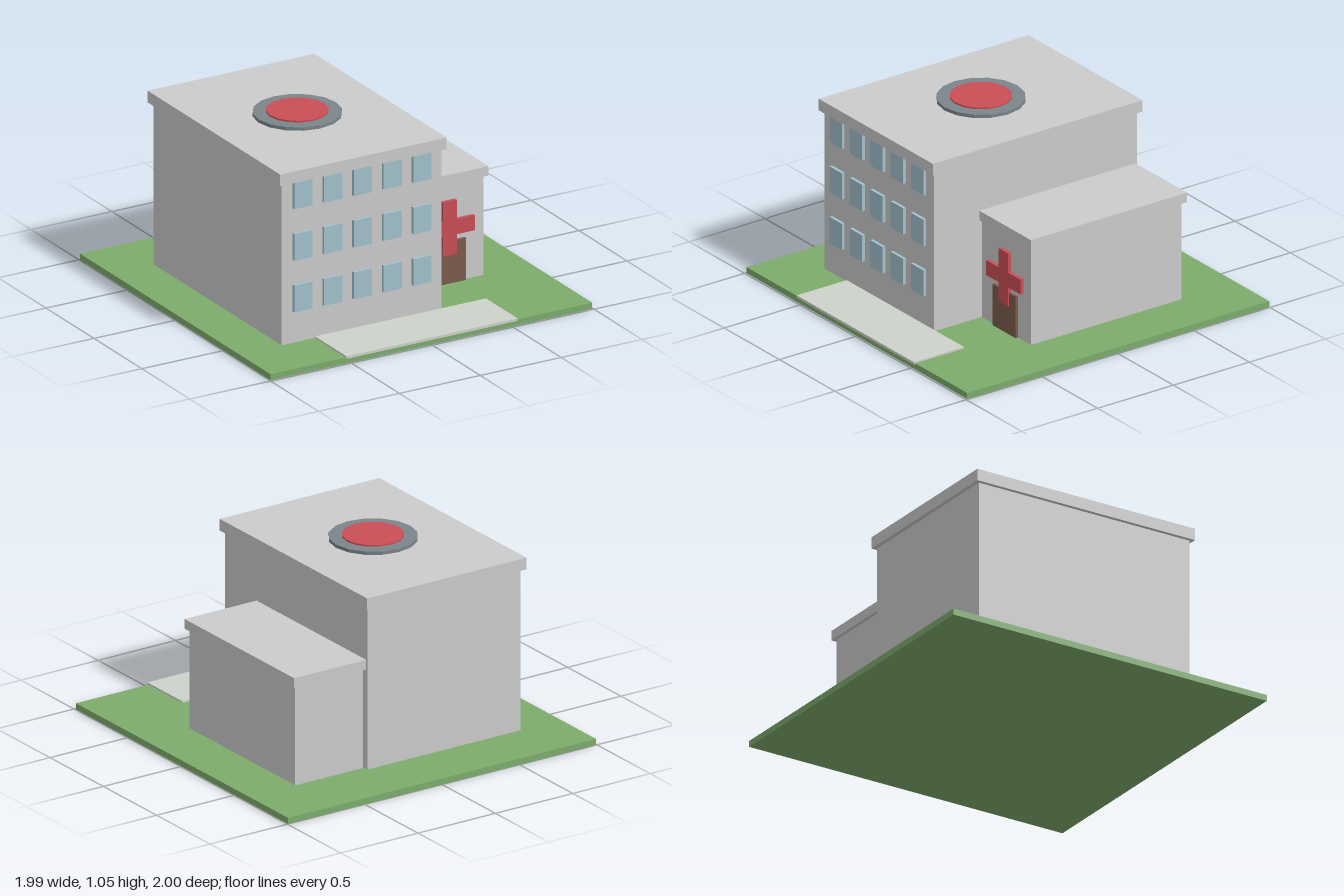
import * as THREE from 'three';

export function createModel() {
  const model = new THREE.Group();
  const mat = (color) => new THREE.MeshStandardMaterial({ color, flatShading: true });
  const grey = mat(0xcccccc), green = mat(0x7dac6c), paving = mat(0xcdd2ca);
  const glass = mat(0xa3c1cd), red = mat(0xca4e56), brown = mat(0x7a5c4b), slate = mat(0x7b858a);

  // Box given by its limits along each axis
  function block(name, material, [x0, x1], [y0, y1], [z0, z1], parent = model) {
    const mesh = new THREE.Mesh(new THREE.BoxGeometry(x1 - x0, y1 - y0, z1 - z0), material);
    mesh.position.set((x0 + x1) / 2, (y0 + y1) / 2, (z0 + z1) / 2);
    mesh.name = name;
    parent.add(mesh);
  }

  // Site
  block('lawn', green, [-0.995, 0.995], [0, 0.035], [-1, 0.99]);
  block('path', paving, [-0.53, 0.527], [0.03, 0.045], [0.67, 1]);

  // Main building and side wing, each with an overhanging roof slab
  block('mainBuilding', grey, [-0.735, 0.255], [0.035, 0.96], [-0.67, 0.667]);
  block('mainRoof', grey, [-0.757, 0.273], [0.96, 1.027], [-0.693, 0.689]);
  block('wing', grey, [0.26, 0.7], [0.035, 0.605], [-0.638, 0.355]);
  block('wingRoof', grey, [0.24, 0.72], [0.605, 0.66], [-0.658, 0.37]);

  // Three rows of five windows on the main front
  const windows = new THREE.Group();
  windows.name = 'windows';
  model.add(windows);
  for (let row = 0; row < 3; row++) {
    for (let col = 0; col < 5; col++) {
      const x = -0.61 + col * 0.184, y = 0.292 + row * 0.296;
      block('window', glass, [x - 0.056, x + 0.056], [y - 0.077, y + 0.077], [0.655, 0.685], windows);
    }
  }

  // Entrance door and the cross above it
  block('door', brown, [0.375, 0.583], [0.035, 0.277], [0.34, 0.37]);
  const shape = new THREE.Shape();
  const a = 0.043, b = 0.155;
  [[-a, -b], [a, -b], [a, -a], [b, -a], [b, a], [a, a], [a, b], [-a, b], [-a, a], [-b, a], [-b, -a], [-a, -a]]
    .forEach(([x, y], i) => (i ? shape.lineTo(x, y) : shape.moveTo(x, y)));
  shape.closePath();
  const cross = new THREE.Mesh(new THREE.ExtrudeGeometry(shape, { depth: 0.024, bevelEnabled: false }), red);
  cross.name = 'cross';
  cross.position.set(0.479, 0.355, 0.352);
  model.add(cross);

  // Landing pad on the main roof
  function disc(name, material, radius, y0, y1) {
    const mesh = new THREE.Mesh(new THREE.CylinderGeometry(radius, radius, y1 - y0, 16), material);
    mesh.position.set(-0.241, (y0 + y1) / 2, -0.003);
    mesh.name = name;
    model.add(mesh);
  }
  disc('landingPad', slate, 0.24, 1.02, 1.046);
  disc('landingPadCentre', red, 0.168, 1.03, 1.055);

  return model;
}
